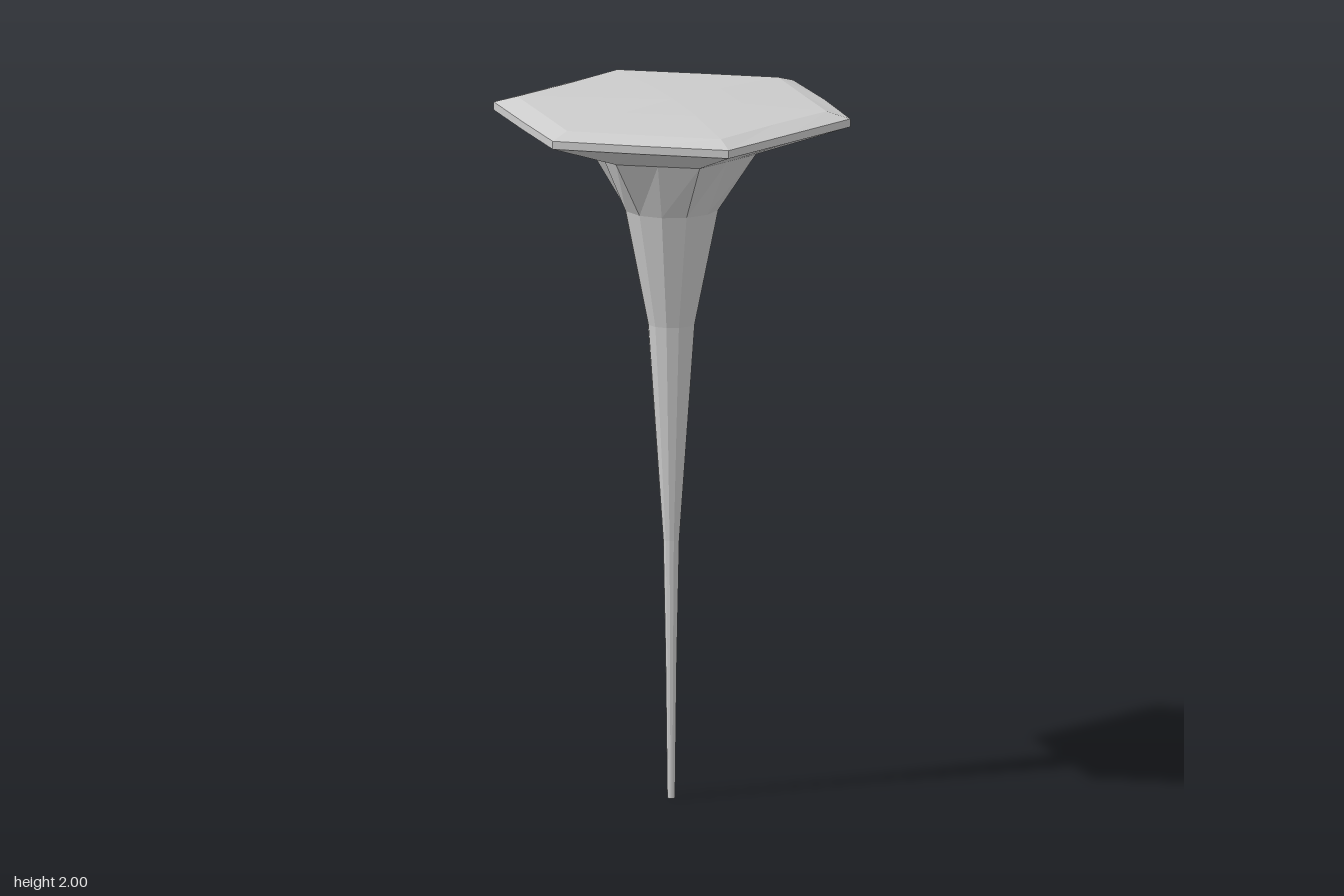
import * as THREE from 'three';

const SIDES = 12;

// Ring of 12 corners; hex = true pulls every second corner in to form a hexagon
function ring(y, r, hex = false, cx = 0) {
  return Array.from({ length: SIDES }, (_, k) => {
    const a = (k / SIDES) * Math.PI * 2;
    const d = hex && k % 2 ? r * Math.cos(Math.PI / 6) : r;
    return [cx + d * Math.cos(a), y, d * Math.sin(a)];
  });
}

// Ring from hand-placed [x, z] corners
const outline = (y, pts) => pts.map(([x, z]) => [x, y, z]);

// Skin between rings listed along the surface; optional centre points close the ends
function loft(rings, start, end) {
  const pos = [];
  const tri = (a, b, c) => pos.push(...a, ...b, ...c);
  for (let k = 0; k < SIDES; k++) {
    const n = (k + 1) % SIDES;
    for (let i = 0; i < rings.length - 1; i++) {
      const lo = rings[i], hi = rings[i + 1];
      tri(lo[k], hi[k], lo[n]);
      tri(lo[n], hi[k], hi[n]);
    }
    const last = rings[rings.length - 1];
    if (start) tri(start, rings[0][k], rings[0][n]);
    if (end) tri(end, last[n], last[k]);
  }
  const geo = new THREE.BufferGeometry();
  geo.setAttribute('position', new THREE.Float32BufferAttribute(pos, 3));
  geo.computeVertexNormals();
  return geo;
}

export function createModel() {
  const group = new THREE.Group();
  const material = new THREE.MeshStandardMaterial({ color: 0xcccccc, flatShading: true });
  const add = (name, geo) => {
    const mesh = new THREE.Mesh(geo, material);
    mesh.name = name;
    group.add(mesh);
  };

  // Slender stem flaring from a point into a hexagonal collar
  const cx = -0.007;
  const collar = ring(1.853, 0.238, true, -0.002);
  add('stem', loft([
    ring(0, 0.011, false, cx),
    ring(0.4, 0.016, false, cx),
    ring(0.74, 0.023, false, cx),
    ring(1.36, 0.067, false, cx),
    ring(1.69, 0.134, false, cx),
    collar,
  ], [cx, 0, 0]));

  // Slightly irregular hexagonal cap: sloped underside, thin rim, bevel, shallow dome
  const rim = [
    [0.508, 0], [0.385, 0.225], [0.25, 0.44], [-0.01, 0.443], [-0.27, 0.445], [-0.395, 0.22],
    [-0.508, 0], [-0.38, -0.225], [-0.248, -0.448], [0, -0.449], [0.25, -0.45], [0.395, -0.235],
  ];
  const face = [
    [0.445, 0], [0.33, 0.19], [0.215, 0.382], [0, 0.38], [-0.24, 0.39], [-0.345, 0.195],
    [-0.447, 0], [-0.33, -0.195], [-0.215, -0.39], [0, -0.39], [0.22, -0.4], [0.335, -0.2],
  ];
  add('cap', loft([
    collar,
    outline(1.944, rim),
    outline(1.967, rim),
    outline(1.986, face),
    ring(1.996, 0.2, true),
  ], null, [0, 2, 0]));

  return group;
}
